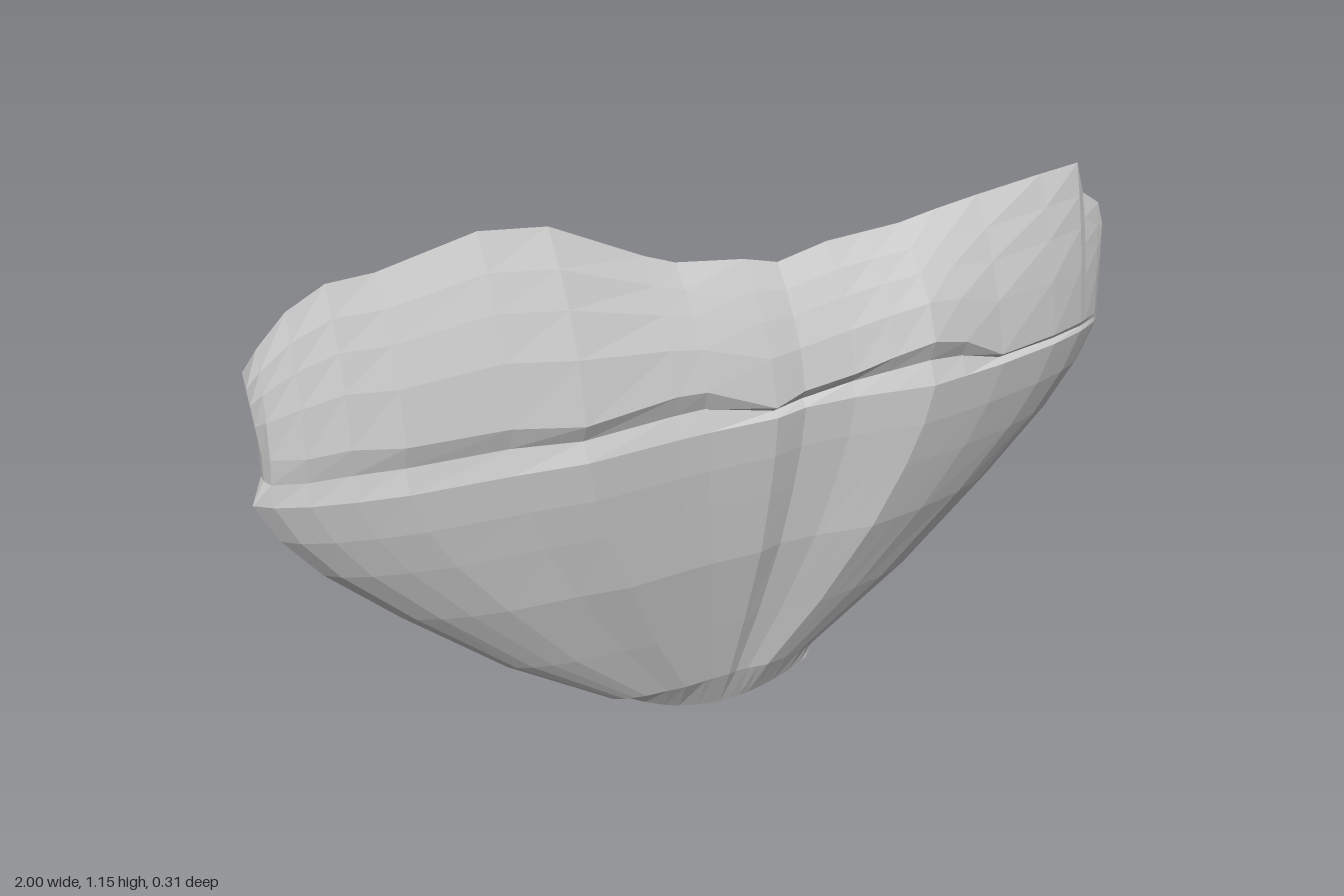
import * as THREE from 'three';

// Column stations along x: [x, front depth, back depth, wall foot y, ridge y, groove y]
const columns = [
  [-1, 0, 0, 0.79, 0.96, 0.74],
  [-0.97, 0.03, 0.03, 0.79, 1.0, 0.74],
  [-0.91, 0.06, 0.055, 0.79, 1.06, 0.74],
  [-0.83, 0.085, 0.09, 0.8, 1.1, 0.745],
  [-0.73, 0.107, 0.12, 0.79, 1.105, 0.745],
  [-0.52, 0.125, 0.14, 0.79, 1.15, 0.745],
  [-0.37, 0.145, 0.125, 0.77, 1.135, 0.735],
  [-0.16, 0.132, 0.138, 0.785, 1.04, 0.74],
  [-0.09, 0.13, 0.145, 0.78, 1.015, 0.74],
  [0.07, 0.135, 0.14, 0.715, 0.995, 0.705],
  [0.15, 0.115, 0.16, 0.73, 0.975, 0.71],
  [0.27, 0.12, 0.125, 0.745, 1.0, 0.725],
  [0.36, 0.135, 0.14, 0.77, 1.005, 0.735],
  [0.45, 0.15, 0.155, 0.79, 1.01, 0.745],
  [0.54, 0.137, 0.14, 0.77, 1.025, 0.735],
  [0.65, 0.12, 0.125, 0.715, 1.04, 0.705],
  [0.82, 0.08, 0.09, 0.715, 1.06, 0.705],
  [0.92, 0.045, 0.05, 0.715, 1.07, 0.705],
  [0.94, 0.035, 0.04, 0.715, 1.0, 0.705],
  [0.985, 0.012, 0.015, 0.715, 0.97, 0.705],
  [1, 0, 0, 0.715, 0.92, 0.705],
];

// Hull rows: [y, half length, depth factor]
const hullRows = [
  [0.08, 0.25, 0.25], [0.22, 0.49, 0.5], [0.39, 0.715, 0.79],
  [0.52, 0.87, 0.9], [0.61, 0.95, 0.97], [0.695, 1, 1],
];

// Upper wall rows: [height fraction from foot to ridge, depth factor]
const wallRows = [[0, 0.97], [0.35, 0.79], [0.6, 0.55], [0.8, 0.31], [1, 0]];

const material = new THREE.MeshStandardMaterial({
  color: 0xcccccc, flatShading: true, side: THREE.DoubleSide,
});

// Skin a list of rows (bottom to top), each holding one point per column
function skin(rows, front) {
  const n = columns.length;
  const index = [];
  for (let r = 0; r < rows.length - 1; r++) {
    for (let i = 0; i < n - 1; i++) {
      const a = r * n + i, b = a + 1, c = a + n, d = c + 1;
      if (front) index.push(a, b, d, a, d, c);
      else index.push(a, d, b, a, c, d);
    }
  }
  const geometry = new THREE.BufferGeometry();
  geometry.setAttribute('position', new THREE.Float32BufferAttribute(rows.flat(2), 3));
  geometry.setIndex(index);
  geometry.computeVertexNormals();
  return geometry;
}

function addMesh(group, name, rows, front) {
  const mesh = new THREE.Mesh(skin(rows, front), material);
  mesh.name = name;
  group.add(mesh);
}

export function createModel() {
  const group = new THREE.Group();
  group.name = 'ribbedShell';

  for (const front of [true, false]) {
    const side = front ? 'front' : 'back';
    const depth = (c) => (front ? c[1] : -c[2]);

    // Ribbed hull fanning up from a rounded keel to the rim
    const keel = columns.map((c) => [c[0] * 0.235, 0.065 * Math.abs(c[0] - 0.15) ** 2, 0]);
    const hull = hullRows.map(([y, length, f]) =>
      columns.map((c) => [c[0] * length, y, depth(c) * f]));
    addMesh(group, side + 'Hull', [keel, ...hull], front);

    // Ledge running in from the rim to the groove, then out under the wall
    const pinch = (c) => (c[0] < -0.97 ? -0.975 : c[0]);
    const rim = columns.map((c) => [c[0], 0.695, depth(c)]);
    const groove = columns.map((c) => [pinch(c), c[5], depth(c) * 0.86]);
    const foot = columns.map((c) => [pinch(c), c[3], depth(c) * 0.97]);
    addMesh(group, side + 'Ledge', [rim, groove, foot], front);

    // Upper wall leaning in to a sharp uneven ridge
    const wall = wallRows.map(([t, f]) =>
      columns.map((c) => [
        THREE.MathUtils.lerp(pinch(c), c[0], t),
        THREE.MathUtils.lerp(c[3], c[4], t),
        depth(c) * f,
      ]));
    addMesh(group, side + 'Wall', wall, front);
  }
  return group;
}
